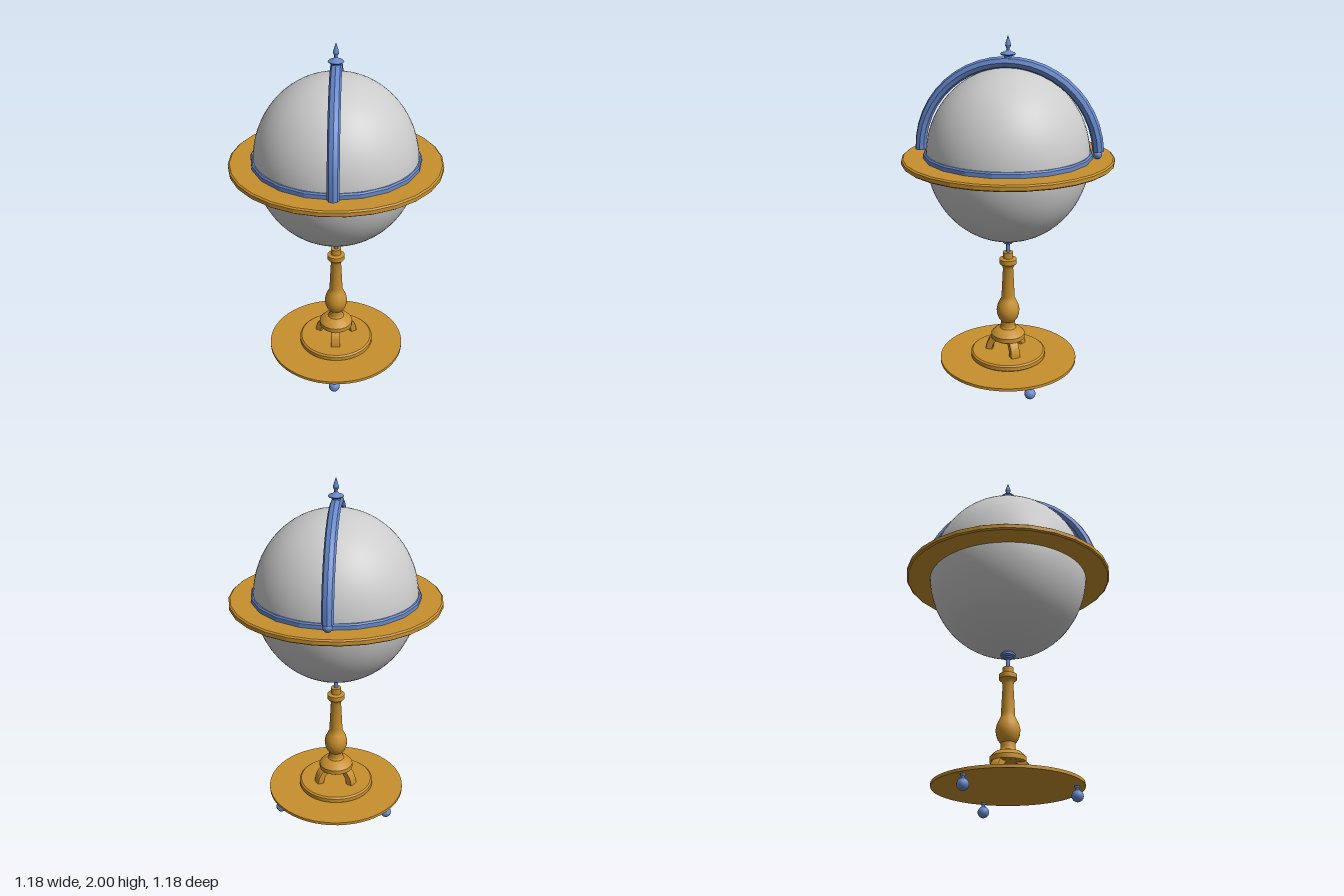
import * as THREE from 'three';
import { toCreasedNormals } from 'three/addons/utils/BufferGeometryUtils.js';

const grey = new THREE.MeshStandardMaterial({ color: 0xcccccc });
const wood = new THREE.MeshStandardMaterial({ color: 0xc8902e });
const blue = new THREE.MeshStandardMaterial({ color: 0x6688cc });

export function createModel() {
  const model = new THREE.Group();

  function add(name, geometry, material, parent = model) {
    const mesh = new THREE.Mesh(geometry, material);
    mesh.name = name;
    parent.add(mesh);
    return mesh;
  }

  // Turned part from [radius, y] pairs listed bottom to top, hard edges kept
  function turned(points, sides, turn = 0, crease = 0.6) {
    const profile = points.map(([r, y]) => new THREE.Vector2(r, y));
    return toCreasedNormals(new THREE.LatheGeometry(profile, sides, turn), crease);
  }

  // Ball, slightly taller than wide
  const ball = add('globe', new THREE.SphereGeometry(1, 64, 40), grey);
  ball.scale.set(0.456, 0.487, 0.456);
  ball.position.y = 1.338;

  // Horizon ring with chamfered rim, and the metal band on its inner edge
  add('horizonRing', turned([
    [0.445, 1.305], [0.583, 1.305], [0.592, 1.312], [0.592, 1.333],
    [0.583, 1.34], [0.445, 1.34], [0.445, 1.305],
  ], 28, Math.PI / 28, 0.15), wood);
  add('horizonBand', turned([
    [0.45, 1.338], [0.471, 1.338], [0.471, 1.362], [0.464, 1.37],
    [0.45, 1.37], [0.45, 1.338],
  ], 20, 0, 0.15), blue);

  // Meridian arch: octagonal bar swept from the front end over to the back
  const gap = 0.06;
  const arch = new THREE.Group();
  arch.name = 'meridianArch';
  arch.position.y = 1.355;
  model.add(arch);
  const bar = new THREE.TorusGeometry(0.5, 0.032, 8, 22, Math.PI - gap);
  bar.rotateY(-Math.PI / 2);
  add('archBar', toCreasedNormals(bar, 0.4), blue, arch);
  const frontCap = add('archFrontCap', new THREE.CircleGeometry(0.032, 8), blue, arch);
  frontCap.rotation.x = Math.PI / 2;
  frontCap.position.z = 0.5;
  const backCap = add('archBackCap', new THREE.CircleGeometry(0.032, 8), blue, arch);
  backCap.rotation.x = Math.PI / 2 - gap;
  backCap.position.set(0, 0.5 * Math.sin(gap), -0.5 * Math.cos(gap));
  add('archPivot', new THREE.SphereGeometry(0.026, 14, 10), blue, arch).position.set(0, 0.012, -0.495);

  // Finial above the arch
  add('finial', turned([
    [0, 1.87], [0.02, 1.872], [0.02, 1.889], [0.036, 1.893], [0.043, 1.9], [0.036, 1.907],
    [0.018, 1.912], [0.009, 1.922], [0.009, 1.93], [0.016, 1.944], [0.014, 1.957],
    [0.005, 1.985], [0, 2],
  ], 16), blue);

  // Metal collar and spindle under the ball
  add('spindle', turned([
    [0, 0.755], [0.011, 0.755], [0.011, 0.812], [0.024, 0.818], [0.028, 0.827],
    [0.042, 0.833], [0.042, 0.845], [0.03, 0.858], [0, 0.86],
  ], 16), blue);

  // Turned pedestal
  add('pedestal', turned([
    [0, 0.215], [0.09, 0.215], [0.1, 0.222], [0.1, 0.248], [0.094, 0.254],
    [0.074, 0.275], [0.048, 0.284], [0.041, 0.296], [0.041, 0.328], [0.055, 0.345],
    [0.065, 0.375], [0.068, 0.4], [0.062, 0.43], [0.048, 0.46], [0.039, 0.478],
    [0.039, 0.492], [0.03, 0.665], [0.036, 0.68], [0.051, 0.695], [0.051, 0.722],
    [0.03, 0.728], [0.03, 0.764], [0, 0.764],
  ], 20), wood);

  // Stepped plinth and thin base plate
  add('plinth', turned([
    [0, 0.1], [0.212, 0.1], [0.222, 0.108], [0.222, 0.131], [0.212, 0.139], [0, 0.139],
  ], 40), wood);
  add('basePlate', turned([
    [0, 0.084], [0.406, 0.084], [0.406, 0.101], [0, 0.101],
  ], 56), wood);

  // Curved leg side profile: x is distance from the axis
  const legShape = new THREE.Shape();
  legShape.moveTo(0.05, 0.23);
  legShape.lineTo(0.08, 0.23);
  legShape.quadraticCurveTo(0.126, 0.205, 0.13, 0.136);
  legShape.lineTo(0.095, 0.136);
  legShape.quadraticCurveTo(0.09, 0.19, 0.05, 0.21);
  const legGeometry = new THREE.ExtrudeGeometry(legShape, {
    depth: 0.04, curveSegments: 8,
    bevelEnabled: true, bevelSize: 0.004, bevelThickness: 0.007, bevelSegments: 1,
  });
  legGeometry.translate(0, 0, -0.02);
  legGeometry.rotateY(-Math.PI / 2); // points along +z

  const casterStem = turned([
    [0, 0.055], [0.012, 0.058], [0.01, 0.07], [0.015, 0.078], [0.015, 0.086],
  ], 12);

  // Three legs and three ball feet, one of each at the front
  for (let i = 0; i < 3; i++) {
    const spoke = new THREE.Group();
    spoke.name = 'support' + (i + 1);
    spoke.rotation.y = (i * Math.PI * 2) / 3;
    model.add(spoke);
    add('leg', legGeometry, wood, spoke);
    add('ballFoot', new THREE.SphereGeometry(0.032, 18, 12), blue, spoke).position.set(0, 0.032, 0.362);
    add('footStem', casterStem, blue, spoke).position.z = 0.362;
  }

  return model;
}
